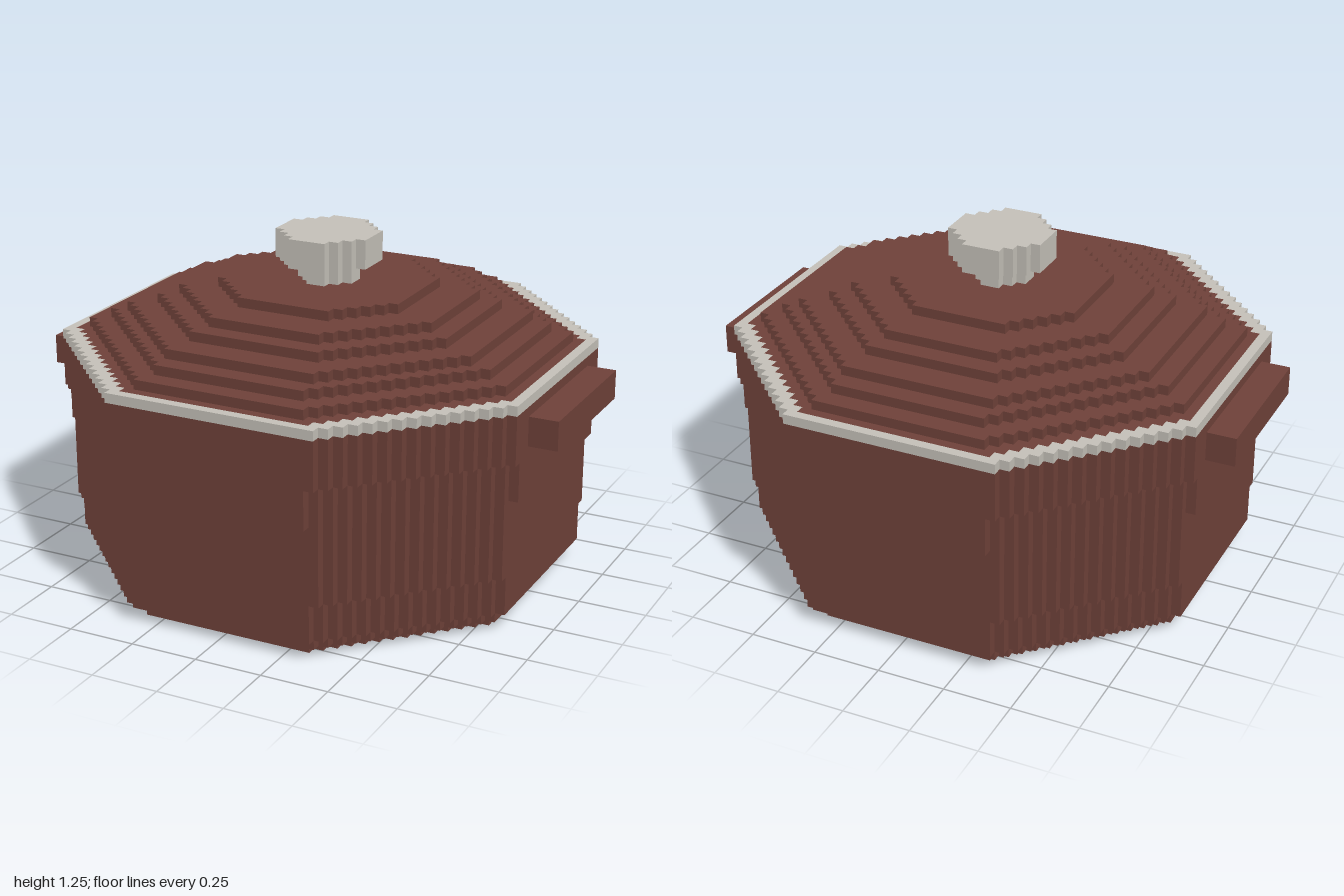
import * as THREE from 'three';

const U = 1 / 28; // one block

const enamel = new THREE.MeshStandardMaterial({ name: 'brown red enamel', color: 0x70423a });
const steel = new THREE.MeshStandardMaterial({ name: 'pale metal', color: 0xc6c2ba });

// Stepped octagon: half width a, corners cut along |x| + |z| = s (in blocks)
function octagon(a, s) {
  const w = s - a, corner = [];
  for (let k = 0; k <= a - w; k++) {
    corner.push([a - k, w + k]);
    if (k < a - w) corner.push([a - k - 1, w + k]);
  }
  const points = [];
  for (let q = 0; q < 4; q++) {
    for (const [x, y] of corner) {
      const [px, py] = [[x, y], [-y, x], [-x, -y], [y, -x]][q];
      points.push(new THREE.Vector2(px * U, py * U));
    }
  }
  return points;
}

// Slab of stepped octagon between two block heights, optionally with a hole
function slab(name, material, [y0, y1, a, s], hole) {
  const shape = new THREE.Shape(octagon(a, s));
  if (hole) shape.holes.push(new THREE.Path(octagon(...hole)));
  const geometry = new THREE.ExtrudeGeometry(shape, { depth: (y1 - y0) * U, bevelEnabled: false });
  geometry.rotateX(-Math.PI / 2);
  const mesh = new THREE.Mesh(geometry, material);
  mesh.name = name;
  mesh.position.y = y0 * U;
  return mesh;
}

function stack(name, material, layers) {
  const group = new THREE.Group();
  group.name = name;
  layers.forEach((layer, i) => group.add(slab(`${name}Layer${i + 1}`, material, layer)));
  return group;
}

export function createModel() {
  const model = new THREE.Group();
  model.name = 'cookingPot';

  // Pot body, widening slightly upwards: [bottom, top, half width, corner cut]
  model.add(stack('body', enamel, [
    [0, 1, 22, 31], [1, 2, 23, 33], [2, 6, 24, 34],
    [6, 14, 24, 35], [14, 18, 25, 35], [18, 23, 25, 36],
  ]));

  // Pale rim ring around the lid
  model.add(slab('rim', steel, [23, 24, 25, 36], [24, 34]));

  // Stepped domed lid
  model.add(stack('lid', enamel, [
    [23, 24, 24, 34], [24, 25, 23, 32], [25, 26, 21, 29], [26, 27, 19, 27],
    [27, 28, 16, 23], [28, 29, 14, 20], [29, 30, 10, 15],
  ]));

  // Knob stem and cap
  model.add(stack('knob', steel, [[30, 32, 3, 4], [32, 35, 5, 7]]));

  // Side handles
  for (const side of [1, -1]) {
    const handle = new THREE.Mesh(new THREE.BoxGeometry(3 * U, 3 * U, 16 * U), enamel);
    handle.name = side > 0 ? 'leftHandle' : 'rightHandle';
    handle.position.set(side * 26.5 * U, 20.5 * U, 0);
    model.add(handle);
  }
  return model;
}
